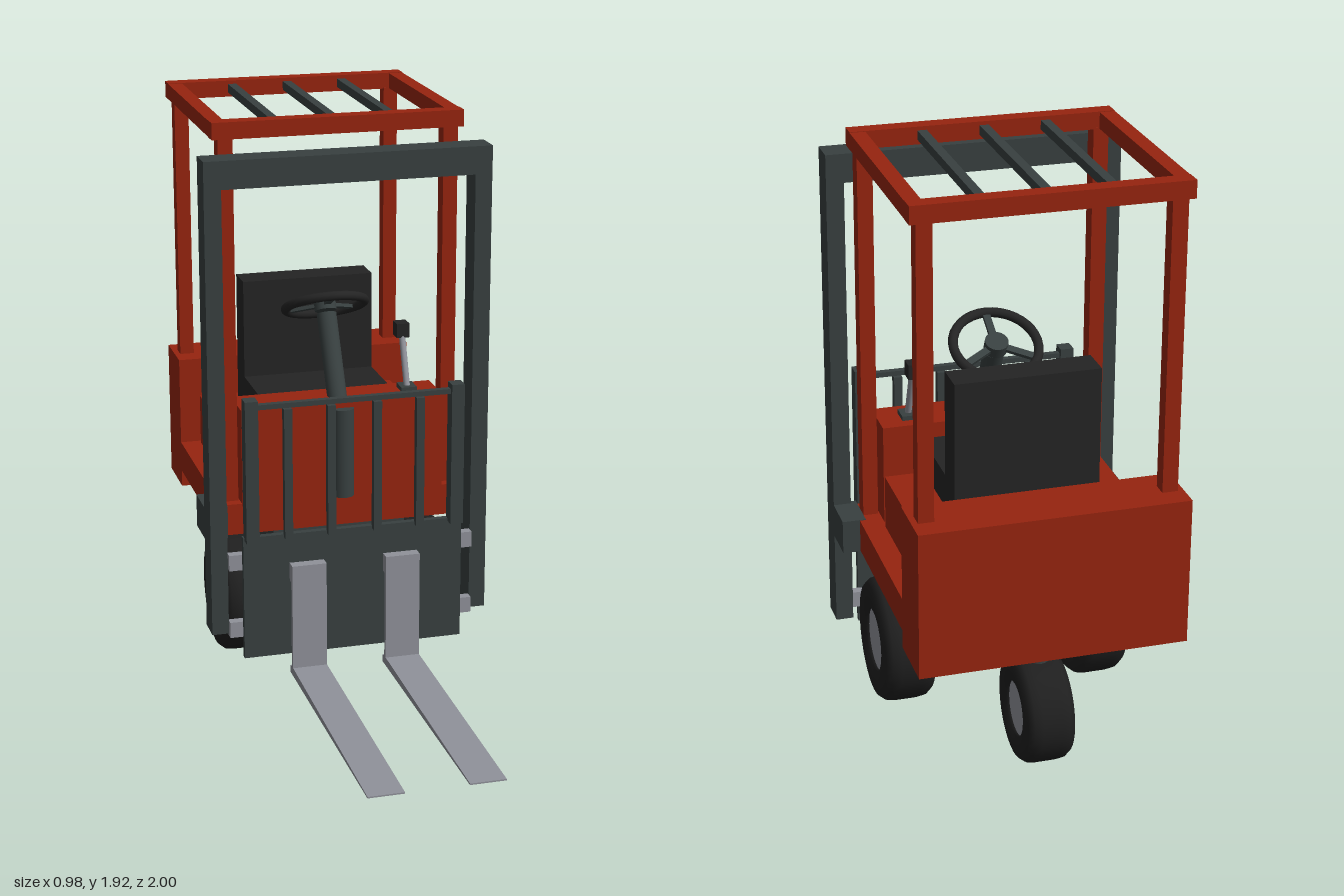
import * as THREE from 'three';

const mat = (name, color) => Object.assign(new THREE.MeshStandardMaterial({ color }), { name });

export function createModel() {
  const red = mat('body red', 0x96240f);
  const steel = mat('dark steel', 0x384040);
  const metal = mat('bare metal', 0x90929a);
  const vinyl = mat('seat black', 0x242424);
  const rubber = mat('tyre rubber', 0x1f1f1f);

  const root = new THREE.Group();
  root.name = 'forklift';

  const add = (name, geo, material, parent = root) => {
    const m = new THREE.Mesh(geo, material);
    m.name = name;
    parent.add(m);
    return m;
  };
  // box from min/max ranges
  const box = (name, material, [x0, x1], [y0, y1], [z0, z1]) => {
    const m = add(name, new THREE.BoxGeometry(x1 - x0, y1 - y0, z1 - z0), material);
    m.position.set((x0 + x1) / 2, (y0 + y1) / 2, (z0 + z1) / 2);
    return m;
  };
  // box repeated on both sides
  const pair = (name, material, [x0, x1], y, z) => {
    box(name + 'Left', material, [x0, x1], y, z);
    box(name + 'Right', material, [-x1, -x0], y, z);
  };
  // cylinder between two points
  const rod = (name, material, a, b, r, r2 = r) => {
    const p = new THREE.Vector3(...a), q = new THREE.Vector3(...b);
    const m = add(name, new THREE.CylinderGeometry(r2, r, p.distanceTo(q), 20), material);
    m.position.copy(p).add(q).multiplyScalar(0.5);
    m.quaternion.setFromUnitVectors(new THREE.Vector3(0, 1, 0), q.sub(p).normalize());
    return m;
  };

  // Body
  box('chassis', red, [-0.43, 0.43], [0.5, 0.61], [-0.82, -0.12]);
  box('counterweight', red, [-0.43, 0.43], [0.44, 0.925], [-1, -0.8]);
  box('cowl', red, [-0.355, 0.355], [0.6, 0.945], [-0.275, -0.115]);
  box('seatBase', red, [-0.36, 0.36], [0.6, 0.79], [-0.78, -0.31]);
  box('axleHousing', steel, [-0.235, 0.235], [0.28, 0.502], [-0.52, -0.165]);
  box('mastMount', steel, [-0.1, 0.1], [0.2, 0.3], [-0.18, -0.1]);

  // Seat
  box('seatPlate', vinyl, [-0.2, 0.2], [0.785, 0.81], [-0.68, -0.33]);
  box('seatCushion', vinyl, [-0.235, 0.235], [0.8, 0.91], [-0.7, -0.31]);
  box('seatBack', vinyl, [-0.235, 0.235], [0.8, 1.26], [-0.7, -0.59]);

  // Overhead guard
  pair('frontPost', red, [0.36, 0.41], [0.6, 1.87], [-0.21, -0.155]);
  pair('rearPost', red, [0.36, 0.41], [0.92, 1.87], [-0.925, -0.875]);
  pair('roofRail', red, [0.38, 0.43], [1.866, 1.92], [-0.93, -0.155]);
  box('roofFront', red, [-0.43, 0.43], [1.865, 1.922], [-0.208, -0.153]);
  box('roofRear', red, [-0.43, 0.43], [1.865, 1.922], [-0.932, -0.877]);
  for (const x of [-0.2, 0, 0.2])
    box('roofSlat', steel, [x - 0.015, x + 0.015], [1.88, 1.91], [-0.88, -0.2]);

  // Mast
  pair('mastRail', steel, [0.43, 0.488], [0.18, 1.82], [-0.115, -0.02]);
  box('mastTop', steel, [-0.488, 0.488], [1.73, 1.825], [-0.116, -0.019]);
  pair('mastBracket', steel, [0.41, 0.488], [0.498, 0.612], [-0.245, -0.1]);
  rod('liftCylinder', steel, [0, 0.61, -0.12], [0, 0.925, -0.12], 0.04);

  // Carriage and load backrest
  box('carriagePlate', steel, [-0.385, 0.385], [0.1, 0.54], [0, 0.022]);
  for (const y of [0.2, 0.445])
    pair('carriageRoller', metal, [0.37, 0.43], [y - 0.028, y + 0.028], [-0.03, 0.002]);
  pair('backrestPost', steel, [0.335, 0.38], [0.53, 1.03], [0.005, 0.055]);
  for (const x of [-0.23, -0.08, 0.08, 0.23])
    box('backrestBar', steel, [x - 0.014, x + 0.014], [0.53, 0.99], [0.015, 0.042]);
  box('backrestTop', steel, [-0.36, 0.36], [0.995, 1.012], [0.018, 0.04]);

  // Forks: tapered L profile
  const prong = new THREE.Shape();
  [[0.02, 0.03], [1, 0.042], [1, 0.047], [0.06, 0.06], [0.06, 0.435], [0.042, 0.435], [0.042, 0.06], [0.02, 0.055]]
    .forEach(([z, y], i) => (i ? prong.lineTo(-z, y) : prong.moveTo(-z, y)));
  const prongGeo = new THREE.ExtrudeGeometry(prong, { depth: 0.12, bevelEnabled: false });
  prongGeo.rotateY(Math.PI / 2);
  for (const x of [0.105, -0.225]) add('fork', prongGeo, metal).position.x = x;
  for (const x of [0.165, -0.165])
    box('forkHook', metal, [x - 0.06, x + 0.06], [0.37, 0.435], [0.02, 0.045]);

  // Wheels: rounded tyre with a slightly sunken hub
  const wheel = (name, x, z, r, hubR, w) => {
    const g = new THREE.Group();
    g.name = name;
    g.position.set(x, r, z);
    g.rotation.z = -Math.PI / 2;
    root.add(g);
    const h = w / 2;
    const profile = [[hubR, -h * 0.7], [hubR, -h * 0.92], [r * 0.75, -h], [r * 0.9, -h * 0.95], [r * 0.98, -h * 0.72],
      [r, -h * 0.4], [r, h * 0.4], [r * 0.98, h * 0.72], [r * 0.9, h * 0.95], [r * 0.75, h], [hubR, h * 0.92], [hubR, h * 0.7]]
      .map(p => new THREE.Vector2(...p));
    add('tyre', new THREE.LatheGeometry(profile, 36), rubber, g);
    add('hub', new THREE.CylinderGeometry(hubR, hubR, w * 0.8, 28), metal, g);
  };
  wheel('frontWheelLeft', 0.33, -0.327, 0.208, 0.105, 0.175);
  wheel('frontWheelRight', -0.33, -0.327, 0.208, 0.105, 0.175);
  wheel('rearWheel', 0, -0.823, 0.177, 0.09, 0.16);
  rod('frontAxle', metal, [-0.3, 0.208, -0.327], [0.3, 0.208, -0.327], 0.045);
  box('rearWheelBracket', steel, [-0.07, 0.07], [0.37, 0.425], [-0.88, -0.765]);
  rod('rearSwivel', metal, [0, 0.4, -0.823], [0, 0.45, -0.823], 0.04);
  rod('rearYoke', steel, [0, 0.34, -0.823], [0, 0.38, -0.823], 0.04);

  // Steering column and wheel
  rod('steeringColumn', steel, [0, 0.92, -0.18], [0, 1.2, -0.33], 0.034);
  const steering = new THREE.Group();
  steering.name = 'steeringWheel';
  steering.position.set(0, 1.225, -0.35);
  steering.rotation.x = -0.49;
  root.add(steering);
  add('rim', new THREE.TorusGeometry(0.138, 0.016, 10, 36).rotateX(Math.PI / 2), vinyl, steering);
  add('boss', new THREE.CylinderGeometry(0.038, 0.038, 0.04, 20), steel, steering);
  for (let i = 0; i < 3; i++) {
    const a = Math.PI / 2 + (i * Math.PI * 2) / 3;
    const spoke = add('spoke', new THREE.BoxGeometry(0.13, 0.012, 0.024), steel, steering);
    spoke.position.set(Math.cos(a) * 0.07, 0, Math.sin(a) * 0.07);
    spoke.rotation.y = -a;
  }

  // Control lever
  box('leverBase', steel, [0.225, 0.28], [0.94, 0.96], [-0.235, -0.17]);
  rod('lever', metal, [0.252, 0.945, -0.195], [0.252, 1.13, -0.265], 0.011);
  box('leverKnob', vinyl, [0.23, 0.275], [1.115, 1.165], [-0.3, -0.25]);

  return root;
}
